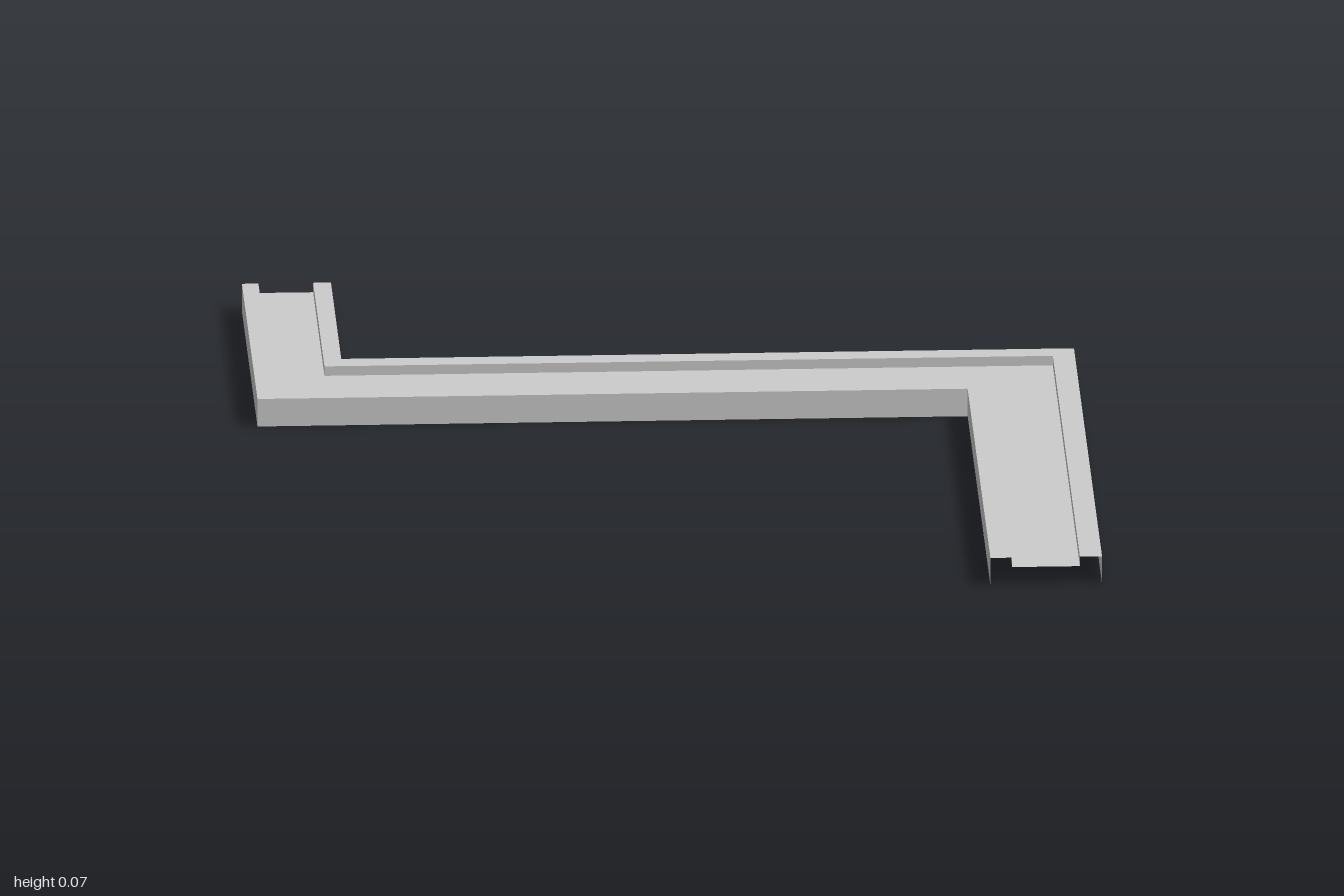
import * as THREE from 'three';

const TOP = 0.067, FLOOR = 0.044;

// Z-shaped plan lines, each set by its back-leg x, cross-run z and front-leg x
const planLine = (xBack, zMid, xFront) => [[xBack, -1], [xBack, zMid], [xFront, zMid], [xFront, 1]];
const rightOuter = planLine(-0.947, -0.19, 0.688);
const rightInner = planLine(-0.909, -0.243, 0.738);
const leftInner = planLine(-0.783, -0.412, 0.894);
const leftOuter = planLine(-0.742, -0.463, 0.945);

// Folded sheet strip between two plan lines, each at its own height
function strip(name, lineA, yA, lineB, yB, material) {
  const positions = [];
  for (let i = 0; i < lineA.length - 1; i++) {
    const [a, d] = [lineA[i], lineA[i + 1]].map(([x, z]) => [x, yA, z]);
    const [b, c] = [lineB[i], lineB[i + 1]].map(([x, z]) => [x, yB, z]);
    positions.push(...a, ...d, ...c, ...a, ...c, ...b);
  }
  const geometry = new THREE.BufferGeometry();
  geometry.setAttribute('position', new THREE.Float32BufferAttribute(positions, 3));
  geometry.computeVertexNormals();
  const mesh = new THREE.Mesh(geometry, material);
  mesh.name = name;
  return mesh;
}

export function createModel() {
  const group = new THREE.Group();
  group.name = 'bentChannel';
  const material = new THREE.MeshStandardMaterial({ color: 0xcccccc, side: THREE.DoubleSide, flatShading: true });

  // Cross-section of the sheet, from the right wall over to the left wall
  const section = [
    [rightOuter, 0], [rightOuter, TOP], [rightInner, TOP], [rightInner, FLOOR],
    [leftInner, FLOOR], [leftInner, TOP], [leftOuter, TOP], [leftOuter, 0],
  ];
  const names = ['rightWall', 'rightRim', 'rightLip', 'channelFloor', 'leftLip', 'leftRim', 'leftWall'];
  names.forEach((name, i) => group.add(strip(name, ...section[i], ...section[i + 1], material)));
  return group;
}
